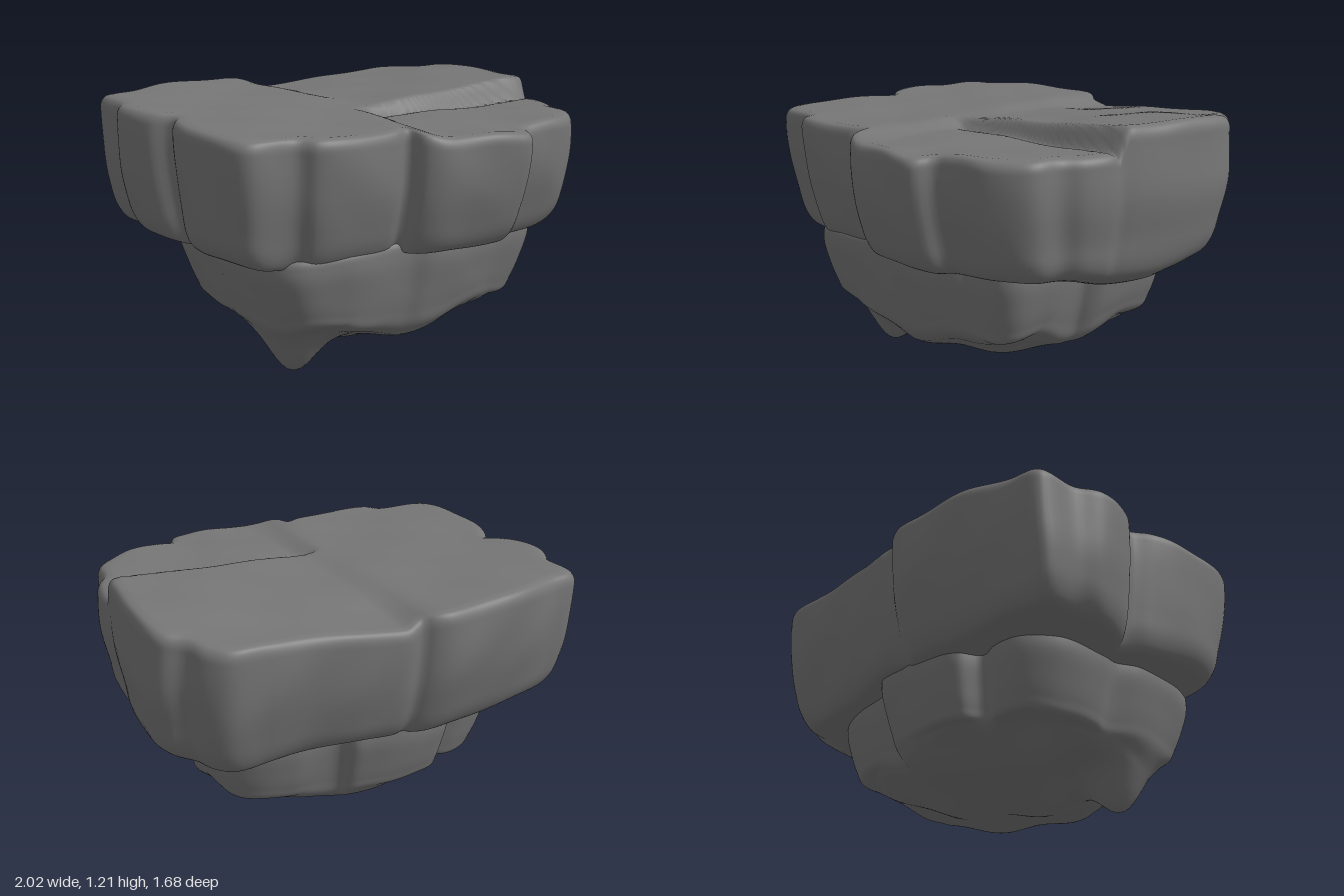
import * as THREE from 'three';

const SEG = 280;
const lerp = THREE.MathUtils.lerp;
const step = (a, b, x) => THREE.MathUtils.smoothstep(x, a, b);
const bump = (d, w) => Math.exp(-(d * d) / (w * w));

// Gentle weathering, a fixed sum of waves
const wave = (x, y, z) =>
  Math.sin(7 * x + 3 * y + 2 * z) * Math.sin(6 * z - 4 * y + 1) +
  0.5 * Math.sin(13 * x - 8 * z + 5 * y) * Math.sin(11 * y + 9 * z + 2 * x);

// Closed stone layer: outline seen from above, wall profile of [scale, v] running
// from underside (v = 0) to top (v = 1), and height functions for both faces
function stoneLayer(name, outline, wall, bottom, top, leanX, leanZ, material) {
  const curve = new THREE.CatmullRomCurve3(
    outline.map(([x, z]) => new THREE.Vector3(x, 0, z)), true, 'centripetal');
  const ring = curve.getSpacedPoints(SEG).slice(0, SEG);
  const profile = new THREE.CatmullRomCurve3(
    wall.map(([s, v]) => new THREE.Vector3(s, v, 0)), false, 'centripetal');
  const rows = [];
  const capRings = 34;
  for (let i = 0; i < capRings; i++) rows.push([wall[0][0] * i / capRings, 0]);
  profile.getPoints(36).forEach(p => rows.push([p.x, THREE.MathUtils.clamp(p.y, 0, 1)]));
  const last = wall[wall.length - 1][0];
  for (let i = capRings - 1; i >= 0; i--) rows.push([last * i / capRings, 1]);

  const pos = [], index = [];
  rows.forEach(([s, v]) => ring.forEach(p => {
    const low = (1 - v) ** 2;
    let x = p.x * s * (1 - leanX * low), z = p.z * s * (1 - leanZ * low);
    let y = lerp(bottom(x, z), top(x, z), v);
    const n = wave(x, y, z), side = step(0.6, 1, s) * 0.013 * n;
    x *= 1 + side;
    z *= 1 + side;
    y += n * lerp(0.012, 0.006, v);
    pos.push(x, y, z);
  }));
  for (let r = 0; r < rows.length - 1; r++) {
    for (let i = 0; i < SEG; i++) {
      const j = (i + 1) % SEG, a = r * SEG + i, b = r * SEG + j, c = a + SEG, d = b + SEG;
      if (r > 0) index.push(a, c, b);
      if (r < rows.length - 2) index.push(b, c, d);
    }
  }
  const geometry = new THREE.BufferGeometry();
  geometry.setAttribute('position', new THREE.Float32BufferAttribute(pos, 3));
  geometry.setIndex(index);
  geometry.computeVertexNormals();
  // The centres of the two faces hold many coincident points; give them plain normals
  const normal = geometry.attributes.normal;
  for (let i = 0; i < SEG; i++) {
    normal.setXYZ(i, 0, -1, 0);
    normal.setXYZ((rows.length - 1) * SEG + i, 0, 1, 0);
  }
  const mesh = new THREE.Mesh(geometry, material);
  mesh.name = name;
  return mesh;
}

// Outlines [x, z] run from the back-left corner along the back, right, front and left
const slabOutline = [
  [-0.95, -0.70], [-0.82, -0.74], [-0.6, -0.79], [-0.4, -0.82], [-0.2, -0.84], [-0.13, -0.82], [-0.09, -0.79],
  [-0.02, -0.81], [0.15, -0.79], [0.4, -0.74], [0.6, -0.74], [0.78, -0.74], [0.86, -0.67], [0.9, -0.56],
  [0.97, -0.5], [1.0, -0.38], [0.99, -0.1], [0.96, 0.1], [0.94, 0.18], [0.945, 0.25], [0.92, 0.38],
  [0.87, 0.46], [0.84, 0.6], [0.68, 0.71], [0.5, 0.73], [0.42, 0.74], [0.37, 0.82], [0.28, 0.83],
  [0.1, 0.815], [-0.08, 0.79], [-0.15, 0.74], [-0.18, 0.645], [-0.25, 0.67], [-0.45, 0.68], [-0.64, 0.65],
  [-0.7, 0.59], [-0.9, 0.56], [-0.95, 0.48], [-0.98, 0.2], [-0.95, 0.02], [-0.9, -0.1], [-0.96, -0.17],
  [-1.0, -0.38], [-0.96, -0.5]];
const baseOutline = [
  [-0.72, -0.38], [-0.62, -0.5], [-0.5, -0.53], [-0.4, -0.51], [-0.35, -0.62], [-0.2, -0.66], [0.05, -0.65],
  [0.14, -0.63], [0.18, -0.56], [0.4, -0.55], [0.58, -0.5], [0.67, -0.42], [0.71, -0.2], [0.71, -0.0],
  [0.68, 0.05], [0.65, 0.08], [0.67, 0.3], [0.66, 0.5], [0.6, 0.56], [0.42, 0.57], [0.36, 0.6],
  [0.0, 0.61], [-0.1, 0.58], [-0.45, 0.59], [-0.66, 0.54], [-0.74, 0.4], [-0.77, 0.1], [-0.74, -0.03],
  [-0.76, -0.12]];

// Upper slab: three merging blocks, the front one on the +x side set lower
function slabTop(x, z) {
  const left = 1.135 - 0.035 * z - 0.01 * x;
  const back = 1.13 + 0.065 * Math.max(0, x) - 0.02 * bump(z + 0.7, 0.25);
  const right = step(-0.12, 0.0, x), front = step(0.145, 0.195, z);
  const lowBlock = 1.085 - 0.02 * bump(x - 0.35, 0.12) * step(0.4, 0.8, z);
  const groove = right * 0.02 * bump(z - 0.18, 0.03);
  const seam = 0.012 * bump(x + 0.09, 0.05) * step(0.1, 0.7, Math.abs(z));
  return lerp(left, lerp(back, lowBlock, front), right) - groove - seam;
}
const slabBottom = (x, z) =>
  0.545 - 0.08 * bump(x - 0.7, 0.28) * bump(z + 0.08, 0.35) + 0.03 * step(0.75, 0.95, Math.abs(x));

// Lower stone: rounded, uneven belly with a small pointed lump
function baseBottom(x, z) {
  const belly = 0.055 + 0.42 * x * x + 0.5 * (z - 0.04) ** 2;
  const lump = 0.18 * bump(x + 0.52, 0.14) * bump(z - 0.23, 0.14);
  const knobs = 0.02 * Math.sin(12 * x + 4 * z) * Math.sin(11 * z - 3 * x);
  return Math.min(belly, 0.24) - lump + knobs;
}

export function createModel() {
  const group = new THREE.Group();
  group.name = 'rock';
  const stone = new THREE.MeshStandardMaterial({ color: 0x767676 });
  group.add(stoneLayer('upperSlab', slabOutline,
    [[0.86, 0], [0.93, 0.02], [0.965, 0.1], [0.985, 0.3], [1, 0.55], [1, 0.85], [0.995, 0.94], [0.975, 0.985], [0.94, 1]],
    slabBottom, slabTop, 0.02, 0.11, stone));
  group.add(stoneLayer('lowerStone', baseOutline,
    [[0.84, 0], [0.91, 0.05], [0.94, 0.2], [0.97, 0.45], [1, 0.8], [0.98, 0.97], [0.9, 1]],
    baseBottom, () => 0.6, 0.03, 0.04, stone));
  return group;
}
